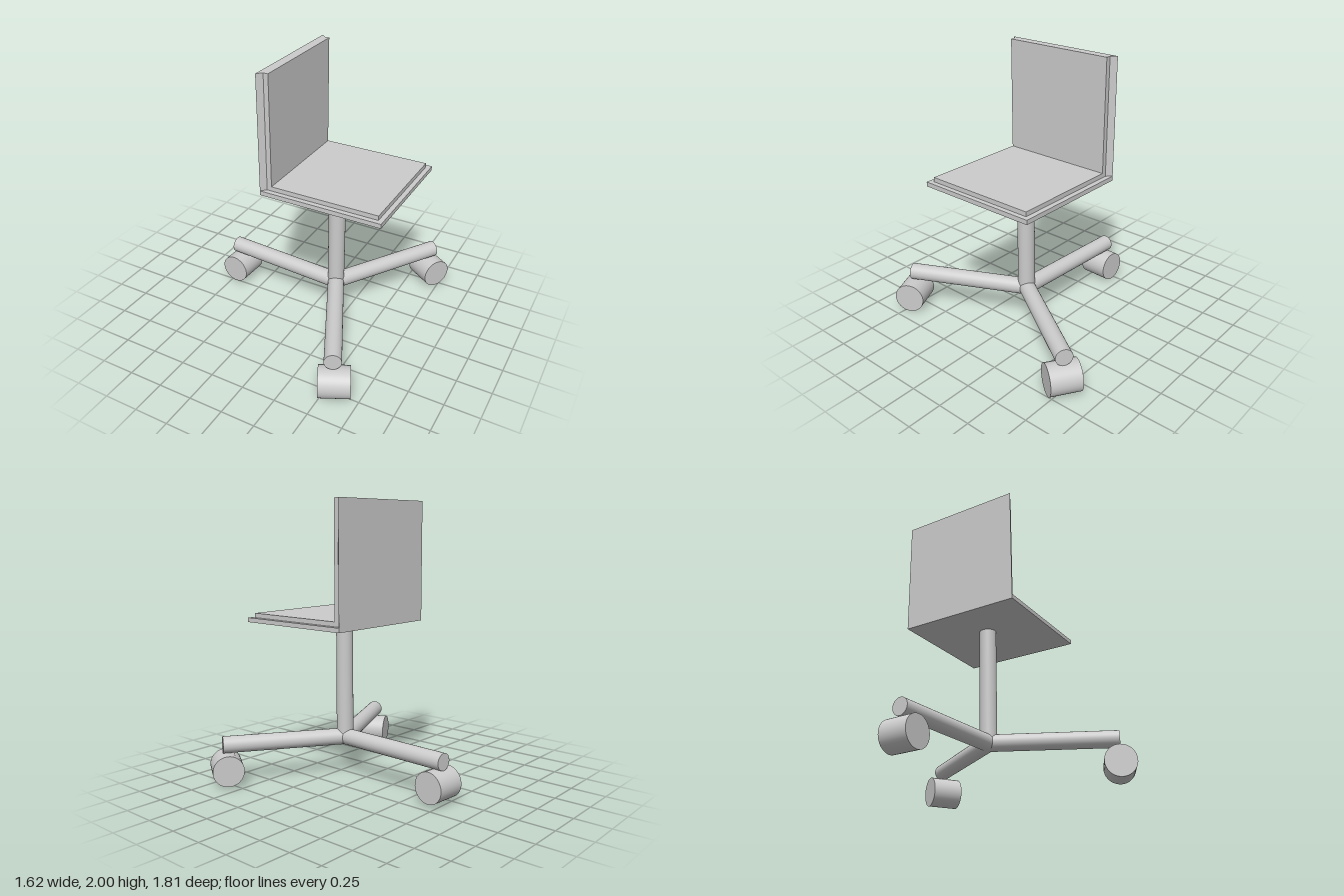
import * as THREE from 'three';

const material = new THREE.MeshStandardMaterial({ color: 0xcccccc });

function add(group, name, geometry) {
  const mesh = new THREE.Mesh(geometry, material);
  mesh.name = name;
  group.add(mesh);
  return mesh;
}

// Box given by its two opposite corners
function block(group, name, min, max) {
  const s = max.map((v, i) => v - min[i]);
  const mesh = add(group, name, new THREE.BoxGeometry(...s));
  mesh.position.set(...max.map((v, i) => (v + min[i]) / 2));
}

// Closed cylinder running from a to b
function rod(group, name, a, b, radius) {
  const dir = b.clone().sub(a);
  const mesh = add(group, name, new THREE.CylinderGeometry(radius, radius, dir.length(), 40));
  mesh.position.copy(a).add(b).multiplyScalar(0.5);
  mesh.quaternion.setFromUnitVectors(new THREE.Vector3(0, 1, 0), dir.normalize());
}

export function createModel() {
  const chair = new THREE.Group();
  chair.name = 'officeChair';

  // Seat board with a slightly smaller cushion
  block(chair, 'seatBoard', [-0.195, 1.14, -0.5], [0.692, 1.172, 0.39]);
  block(chair, 'seatCushion', [-0.16, 1.172, -0.464], [0.658, 1.204, 0.354]);

  // Backrest: panel with bevelled sides, then a pad in front
  const outline = new THREE.Shape([
    new THREE.Vector2(-0.195, -0.39),
    new THREE.Vector2(-0.16, -0.354),
    new THREE.Vector2(-0.16, 0.464),
    new THREE.Vector2(-0.195, 0.5),
  ]);
  const panel = new THREE.ExtrudeGeometry(outline, { depth: 0.828, bevelEnabled: false });
  panel.rotateX(-Math.PI / 2).translate(0, 1.172, 0);
  add(chair, 'backPanel', panel);
  block(chair, 'backPad', [-0.16, 1.172, -0.464], [-0.125, 2, 0.354]);

  // Central column
  const hub = new THREE.Vector3(0.175, 0.29, -0.037);
  rod(chair, 'column', hub, new THREE.Vector3(0.175, 1.14, -0.037), 0.061);

  // Three legs, each with a roller lying across its end
  const legs = [
    { end: [-0.742, 0.295, -0.09], wheel: [-0.697, 0.131, -0.085] },
    { end: [0.667, 0.295, -0.782], wheel: [0.653, 0.127, -0.757] },
    { end: [0.563, 0.286, 0.769], wheel: [0.57, 0.114, 0.757] },
  ];
  const up = new THREE.Vector3(0, 1, 0.01);
  for (const { end, wheel } of legs) {
    const tip = new THREE.Vector3(...end);
    const centre = new THREE.Vector3(...wheel);
    rod(chair, 'leg', hub, tip, 0.06);
    const half = tip.clone().sub(hub).cross(up).setLength(0.109);
    rod(chair, 'wheel', centre.clone().sub(half), centre.clone().add(half), 0.11);
  }
  return chair;
}
